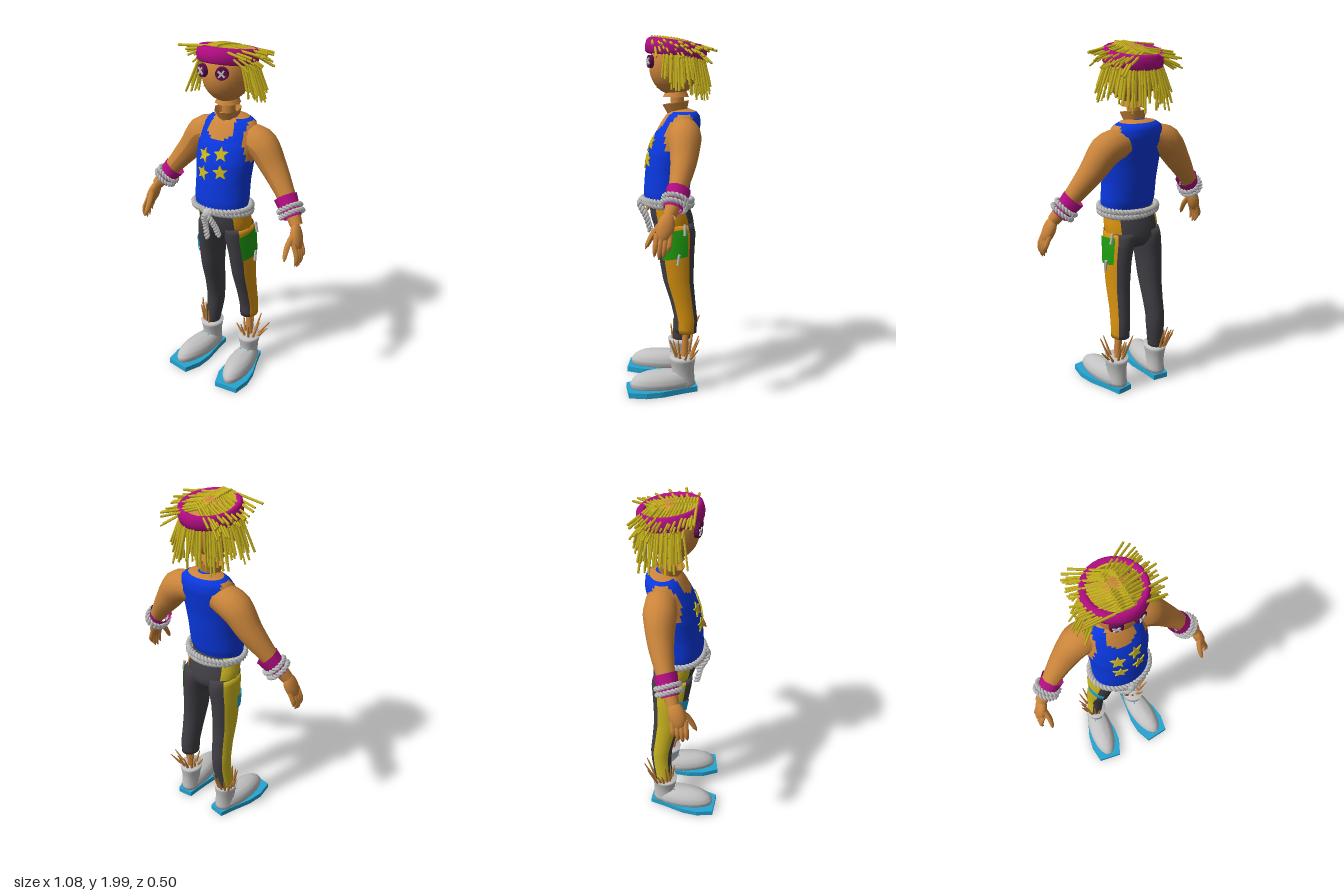
import * as THREE from 'three';
import { mergeGeometries } from 'three/addons/utils/BufferGeometryUtils.js';

const V = (x, y, z) => new THREE.Vector3(x, y, z);
const UP = V(0, 1, 0);

function createMaterials() {
  const colors = {
    burlap: 0xcb853b, shirtBlue: 0x0a38e0, straw: 0xcdb71f, charcoal: 0x403e44, gold: 0xd8920f,
    patchGreen: 0x1f9c10, cyan: 0x25a5d2, magenta: 0xb40d84, lightGrey: 0xc2c2c2, buttonPlum: 0x5c0c48,
  };
  const mats = {};
  for (const [name, color] of Object.entries(colors)) {
    mats[name] = new THREE.MeshStandardMaterial({ color, side: THREE.DoubleSide });
    mats[name].name = name;
  }
  return mats;
}

// Ring [x, y, z, rx, rz] interpolated at height y (rings run upwards)
function ringAt(rings, y) {
  let k = 0;
  while (k < rings.length - 2 && y > rings[k + 1][1]) k++;
  const t = THREE.MathUtils.clamp((y - rings[k][1]) / (rings[k + 1][1] - rings[k][1]), 0, 1);
  return rings[k].map((v, i) => v + (rings[k + 1][i] - v) * t);
}
function surfacePoint(rings, y, a, offset = 0) {
  const [x, , z, rx, rz] = ringAt(rings, y);
  return V(x + Math.cos(a) * (rx + offset), y, z + Math.sin(a) * (rz + offset));
}

// Closed body from elliptical rings; pick(point, angle) chooses the material of each face
function loft(rings, rows, n, pick = () => 0) {
  const y0 = rings[0][1], y1 = rings.at(-1)[1], pos = [], buckets = [[], []];
  const yAt = (j) => y0 + (y1 - y0) * j / rows;
  for (let j = 0; j <= rows; j++)
    for (let i = 0; i < n; i++) pos.push(...surfacePoint(rings, yAt(j), i / n * Math.PI * 2));
  for (let j = 0; j < rows; j++)
    for (let i = 0; i < n; i++) {
      const ang = (i + 0.5) / n * Math.PI * 2, i2 = (i + 1) % n;
      const a = j * n + i, b = j * n + i2, c = a + n, d = b + n;
      buckets[pick(surfacePoint(rings, yAt(j + 0.5), ang), ang)].push(a, c, b, b, c, d);
    }
  const low = pos.length / 3, top = rows * n;
  pos.push(...rings[0].slice(0, 3), ...rings.at(-1).slice(0, 3));
  for (let i = 0; i < n; i++) {
    const i2 = (i + 1) % n;
    buckets[0].push(low, i, i2, low + 1, top + i2, top + i);
  }
  const g = new THREE.BufferGeometry();
  g.setAttribute('position', new THREE.Float32BufferAttribute(pos, 3));
  g.setIndex([...buckets[0], ...buckets[1]]);
  g.addGroup(0, buckets[0].length, 0);
  g.addGroup(buckets[0].length, buckets[1].length, 1);
  g.computeVertexNormals();
  return g;
}

// Tube through points [x, y, z, radius]
function taperTube(points, seg, n) {
  const curve = new THREE.CatmullRomCurve3(points.map((p) => V(p[0], p[1], p[2])));
  const g = new THREE.TubeGeometry(curve, seg, 1, n), pos = g.attributes.position, v = V(0, 0, 0);
  for (let i = 0; i < pos.count; i++) {
    const t = Math.floor(i / (n + 1)) / seg, f = curve.getUtoTmapping(t) * (points.length - 1);
    const k = Math.min(Math.floor(f), points.length - 2), c = curve.getPointAt(t);
    const r = THREE.MathUtils.lerp(points[k][3], points[k + 1][3], f - k);
    v.fromBufferAttribute(pos, i).sub(c).multiplyScalar(r).add(c);
    pos.setXYZ(i, v.x, v.y, v.z);
  }
  g.computeVertexNormals();
  return g;
}

// Straight stick from a to b
function stick(a, b, ra, rb, n = 4, open = false) {
  const d = b.clone().sub(a), g = new THREE.CylinderGeometry(rb, ra, d.length(), n, 1, open);
  g.applyQuaternion(new THREE.Quaternion().setFromUnitVectors(UP, d.normalize()));
  const m = a.clone().add(b).multiplyScalar(0.5);
  return g.translate(m.x, m.y, m.z);
}

// Two strands twisted round a curve
function rope(curve, closed, r, seg, twists) {
  const fr = curve.computeFrenetFrames(seg, closed);
  return mergeGeometries([0, Math.PI].map((phase) => {
    const pts = [];
    for (let i = 0; i < seg + (closed ? 0 : 1); i++) {
      const a = phase + i / seg * twists * Math.PI * 2;
      pts.push(curve.getPointAt(i / seg).addScaledVector(fr.normals[i], Math.cos(a) * r)
        .addScaledVector(fr.binormals[i], Math.sin(a) * r));
    }
    return new THREE.TubeGeometry(new THREE.CatmullRomCurve3(pts, closed), seg, r * 1.05, 5, closed);
  }));
}
function ringCurve(center, q, rx, rz) {
  return new THREE.CatmullRomCurve3(Array.from({ length: 14 }, (_, i) => {
    const a = i / 14 * Math.PI * 2;
    return V(Math.cos(a) * rx, 0, Math.sin(a) * rz).applyQuaternion(q).add(center);
  }), true);
}

export function createModel() {
  const M = createMaterials(), root = new THREE.Group();
  root.name = 'scarecrowFigure';
  const add = (name, geo, mat) => {
    const mesh = new THREE.Mesh(geo, mat);
    mesh.name = name;
    root.add(mesh);
    return mesh;
  };
  let seed = 7;
  const rnd = (lo, hi) => lo + (hi - lo) * ((seed = (seed * 16807) % 2147483647) / 2147483647);

  // Torso with a sleeveless shirt, skin at neckline and armholes
  const torso = [[0, 1.085, .015, .155, .115], [0, 1.14, .008, .162, .128], [0, 1.25, -.005, .16, .133],
    [0, 1.36, -.02, .17, .132], [0, 1.45, -.045, .172, .125], [0, 1.52, -.07, .165, .112],
    [0, 1.565, -.083, .145, .095], [0, 1.59, -.085, .1, .07], [0, 1.6, -.08, .045, .045]];
  add('torsoAndShirt', loft(torso, 40, 48, (p) => {
    const neck = p.z > -.09 && p.y > 1.48 + 6 * p.x * p.x && Math.abs(p.x) < .075;
    const armhole = p.y > 1.37 && Math.abs(p.x) > Math.max(.13, .17 - (p.y - 1.37) * .5) && p.z < 0.02 && p.z > -.15;
    return neck || armhole || p.y > 1.588 ? 1 : 0;
  }), [M.shirtBlue, M.burlap]);

  // Stars laid on the chest
  for (const [sx, sy] of [[-.053, 1.4], [.05, 1.42], [-.05, 1.305], [.06, 1.325]]) {
    const shape = new THREE.Shape(Array.from({ length: 10 }, (_, i) => {
      const a = Math.PI / 2 + .12 * Math.sign(sx) + i * Math.PI / 5, r = i % 2 ? .018 : .042;
      return new THREE.Vector2(sx + Math.cos(a) * r, sy + Math.sin(a) * r);
    }));
    const g = new THREE.ExtrudeGeometry(shape, { depth: .007, bevelEnabled: false }), p = g.attributes.position;
    for (let i = 0; i < p.count; i++) {
      const [, , z, rx, rz] = ringAt(torso, p.getY(i));
      p.setZ(i, p.getZ(i) + z + rz * Math.sqrt(1 - (p.getX(i) / rx) ** 2) + .003);
    }
    g.computeVertexNormals();
    add('star', g, M.straw);
  }

  // Neck with flared sack collars
  add('neck', stick(V(0, 1.56, -.06), V(0, 1.74, -.045), .04, .034, 10), M.burlap);
  add('collar', stick(V(0, 1.575, -.055), V(0, 1.635, -.045), .052, .075, 9, true), M.burlap);
  add('headHem', stick(V(0, 1.665, -.045), V(0, 1.72, -.045), .072, .045, 8, true), M.burlap);

  // Head, button eyes, headband
  const head = add('head', new THREE.SphereGeometry(1, 24, 18), M.burlap);
  head.scale.set(.13, .152, .137);
  head.position.set(0, 1.828, -.035);
  for (const s of [-1, 1]) {
    const eye = new THREE.Group();
    eye.name = 'buttonEye';
    const disc = new THREE.Mesh(new THREE.CylinderGeometry(.033, .035, .02, 16).rotateX(Math.PI / 2), M.buttonPlum);
    const cross = new THREE.Mesh(mergeGeometries([-1, 1].map((k) =>
      new THREE.BoxGeometry(.046, .009, .007).rotateZ(k * Math.PI / 4 + .1).translate(0, 0, .013))), M.lightGrey);
    disc.name = 'button';
    cross.name = 'crossStitch';
    eye.add(disc, cross);
    eye.position.set(s * .06, 1.855, .096);
    eye.rotation.y = s * .35;
    root.add(eye);
  }
  const bandProfile = [[.125, -.03], [.145, -.042], [.158, -.032], [.163, 0], [.158, .032], [.145, .042], [.125, .03]];
  const band = add('headband', new THREE.LatheGeometry(bandProfile.map((p) => new THREE.Vector2(...p)), 32), M.magenta);
  band.scale.z = 1.05;
  band.position.set(0, 1.92, -.045);
  band.rotation.x = -.15;

  // Straw hair: hanging fringe, then parted crown
  const straws = [];
  for (let i = 0; i < 92; i++) {
    const a = -Math.PI / 2 + (i / 91 - .5) * 4.0 + rnd(-.05, .05), back = Math.max(0, -Math.sin(a));
    const r = rnd(.165, .235) - back * .03, c = Math.cos(a), s = Math.sin(a);
    straws.push(stick(V(c * .137, 1.92 - back * .02, -.045 + s * .145),
      V(c * r, rnd(1.685, 1.78) - back * rnd(0, .06), -.045 + s * r * .95), .008, .006));
  }
  for (let i = 0; i < 30; i++) {
    const t = Math.floor(i / 2) / 14, s = i % 2 ? 1 : -1, z0 = .075 - t * .2;
    straws.push(stick(V(-s * .03, 1.987 - t * t * .03, z0 + .01),
      V(s * (rnd(.19, .235) - t * t * .06), rnd(1.935, 1.965) - t * .04, z0 - t * .12 + rnd(-.01, .01)), .008, .007));
    straws.push(stick(V(s * .03, 1.98 - t * t * .03, z0),
      V(s * rnd(.17, .2), rnd(1.87, 1.93) - t * .03, z0 - t * .09 - .01), .008, .006));
  }
  add('strawHair', mergeGeometries(straws), M.straw);

  // Arms, wristbands and hands
  for (const s of [-1, 1]) {
    add('arm', taperTube([[s * .09, 1.485, -.085, .08], [s * .19, 1.455, -.085, .09], [s * .28, 1.345, -.075, .071],
      [s * .36, 1.245, -.05, .054], [s * .43, 1.155, -.02, .041], [s * .475, 1.09, .005, .034]], 20, 14), M.burlap);
    const a = V(s * .375, 1.21, -.045), b = V(s * .445, 1.12, -.012);
    add('wristband', stick(a, b, .065, .05, 9, true), M.magenta);
    const q = new THREE.Quaternion().setFromUnitVectors(UP, b.clone().sub(a).normalize());
    for (const t of [.55, .82])
      add('wristRope', rope(ringCurve(a.clone().lerp(b, t), q, .062, .062), true, .0075, 60, 9), M.lightGrey);
    const palm = add('palm', new THREE.SphereGeometry(1, 14, 10), M.burlap);
    palm.scale.set(.03, .078, .046);
    palm.position.set(s * .492, 1.035, .026);
    palm.rotation.set(-.25, 0, s * .3);
    for (let i = 0; i < 4; i++) {
      const z = -.004 + i * .023, drop = [.035, .008, 0, .015][i];
      add('finger', taperTube([[s * .5, 1.01, z + .005, .014], [s * .524, .95, z + .012, .014],
        [s * .526, .9 + drop, z + .016, .011], [s * .519, .878 + drop, z + .019, .002]], 8, 7), M.burlap);
    }
    add('thumb', taperTube([[s * .485, 1.06, .045, .016], [s * .475, 1.0, .088, .016],
      [s * .477, .945, .118, .012], [s * .479, .925, .128, .002]], 8, 7), M.burlap);
  }

  // Trousers with side stripes: gold on the left leg, yellow on the right
  const hips = [[0, .88, -.04, .1, .075], [0, .93, -.038, .155, .115], [0, 1.0, -.022, .163, .12], [0, 1.1, .0, .15, .108]];
  const legRings = (s) => [
    ...(s < 0 ? [[-.142, .19, -.085, .045, .052]] : []),
    [s * .124, .345, -.1, .051, .06], [s * .122, .42, -.1, .053, .064], [s * .116, .52, -.083, .056, .07],
    [s * .111, .65, -.056, .062, .085], [s * .105, .8, -.045, .07, .1], [s * .09, .92, -.038, .078, .115],
    [s * .085, .97, -.03, .075, .11]];
  const onSide = (s, limit) => (p, a) => (s * Math.cos(a) > limit ? 1 : 0);
  for (const s of [-1, 1]) {
    const stripe = s > 0 ? M.gold : M.straw;
    add('trouserLeg', loft(legRings(s), 24, 24, onSide(s, .7)), [M.charcoal, stripe]);
    add('hipStripe', loft(hips.map((r) => [s * .002, r[1], r[2], r[3], r[4] - .001]), 8, 24,
      onSide(s, .7)), [M.charcoal, stripe]);
  }

  // Patches wrapped on the legs: (angle range, height range, slant)
  const patch = (name, s, a0, a1, y0, y1, slant, mat) => {
    const g = new THREE.PlaneGeometry(1, 1, 6, 4), p = g.attributes.position, rings = legRings(s);
    for (let i = 0; i < p.count; i++) {
      const u = p.getX(i) + .5, v = p.getY(i) + .5;
      p.setXYZ(i, ...surfacePoint(rings, y0 + (y1 - y0) * v + slant * u, a0 + (a1 - a0) * u, .008));
    }
    g.computeVertexNormals();
    add(name, g, mat);
  };
  patch('greenPatch', 1, .85, -.6, .775, .93, .025, M.patchGreen);
  patch('cyanPatch', -1, Math.PI * .97, Math.PI * .6, .77, .85, -.01, M.cyan);
  const stitch = (y, a) => add('patchStitch', stick(surfacePoint(legRings(1), y - .03, a, .014),
    surfacePoint(legRings(1), y + .03, a - .1, .014), .008, .008, 6), M.lightGrey);
  stitch(.95, -.4);
  stitch(.785, -.02);

  // Rope belt with knot and hanging ends
  for (const k of [-1, 1]) {
    const q = new THREE.Quaternion().setFromEuler(new THREE.Euler(-.06 + k * .03, 0, k * .03));
    add('beltRope', rope(ringCurve(V(0, 1.088 + k * .008, .004), q, .172, .139), true, .009, 150, 22), M.lightGrey);
    add('beltEnd', rope(new THREE.CatmullRomCurve3([V(-k * .03, 1.095, .145), V(k * .015, 1.07, .16),
      V(k * .033, 1.0, .125), V(k * .04, k > 0 ? .935 : .9, .1)]), false, .009, 40, 5), M.lightGrey);
  }
  const knot = add('beltKnot', new THREE.SphereGeometry(.028, 10, 8), M.lightGrey);
  knot.position.set(0, 1.085, .145);

  // Shoes, turned slightly outwards, with ankle straw
  const half = [[.045, -.08], [.06, 0], [.092, .13], [.096, .22], [.07, .318]];
  const outline = [...half, ...half.map(([x, v]) => [-x, v]).reverse()].map((p) => new THREE.Vector2(...p));
  const upper = [[0, .03, .115, .07, .185], [0, .06, .118, .078, .187], [0, .09, .115, .07, .168],
    [0, .115, .105, .05, .135], [0, .126, .1, .018, .08]];
  const shaft = [[0, .03, 0, .056, .074], [0, .1, -.002, .052, .066], [0, .14, -.002, .055, .066], [0, .205, 0, .069, .077]];
  for (const s of [-1, 1]) {
    const shoe = new THREE.Group();
    shoe.name = s > 0 ? 'leftShoe' : 'rightShoe';
    const part = (name, g, m) => { const o = new THREE.Mesh(g, m); o.name = name; shoe.add(o); };
    const sole = new THREE.ExtrudeGeometry(new THREE.Shape(outline), { depth: .032, bevelEnabled: false });
    part('sole', sole.rotateX(Math.PI / 2).translate(0, .032, 0), M.cyan);
    part('upper', loft(upper, 10, 20), M.lightGrey);
    part('shaft', loft(shaft, 8, 16), M.lightGrey);
    part('laceStitch', new THREE.BoxGeometry(.05, .012, .016).translate(0, .118, .064), M.cyan);
    shoe.position.set(s * .14, 0, -.08);
    shoe.rotation.y = s * .13;
    root.add(shoe);

    if (s > 0) add('ankle', stick(V(.138, .18, -.09), V(.128, .38, -.1), .02, .018, 8), M.burlap);
    const tufts = [];
    for (let i = 0; i < 10; i++) {
      const a = s > 0 ? i / 10 * Math.PI * 2 : Math.PI + (i / 9 - .5) * 3.4;
      const c = Math.cos(a), d = Math.sin(a), r = rnd(.07, .13) * (s * c < -.3 ? .75 : 1), b = s > 0 ? .03 : .045;
      tufts.push(stick(V(s * .142 + c * b, .17, -.085 + d * b),
        V(s * .142 + c * r, rnd(.26, .36), -.105 + d * r * .85), .011, .003, 5));
    }
    add('ankleStraw', mergeGeometries(tufts), M.burlap);
  }
  return root;
}
